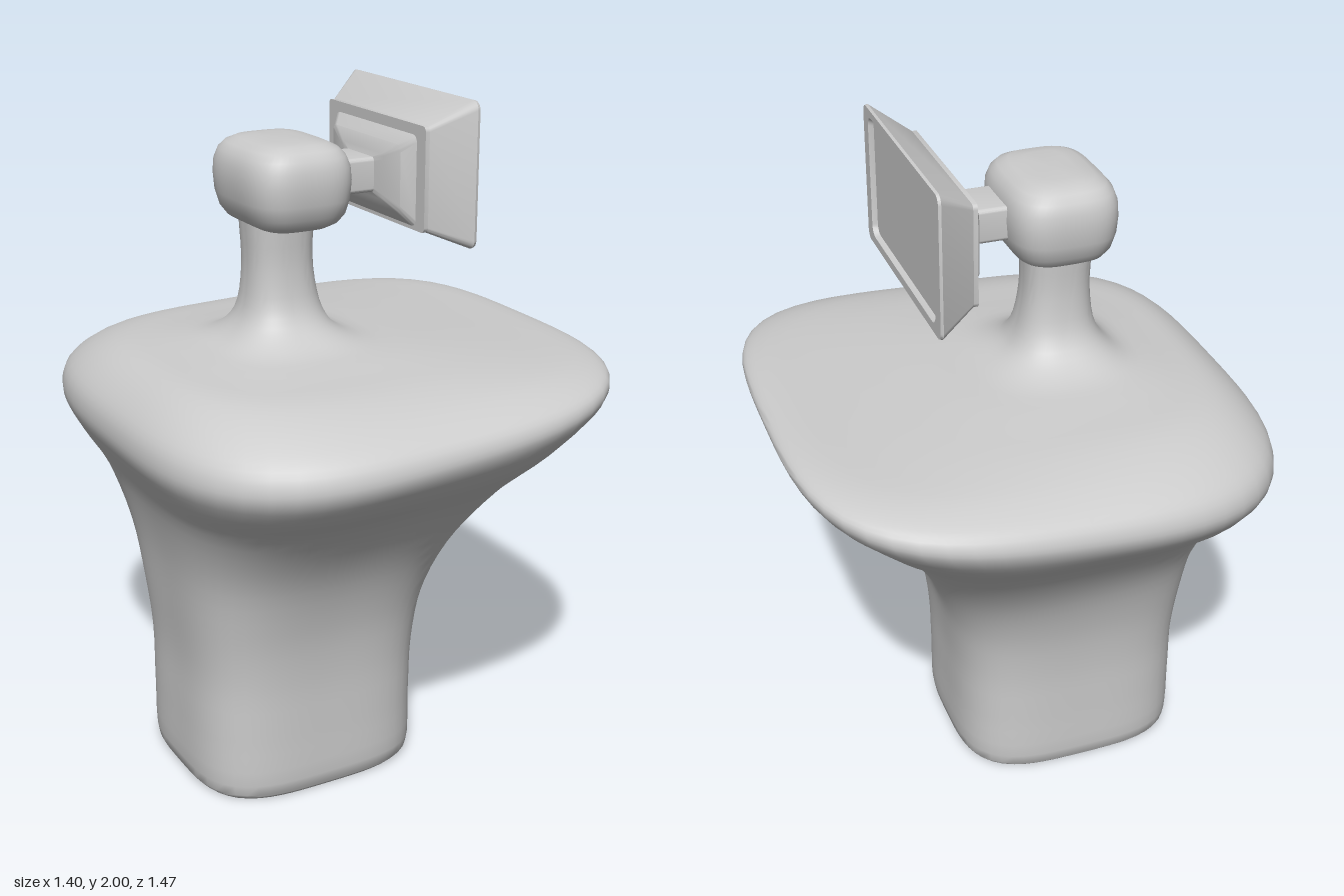
import * as THREE from 'three';
import { toCreasedNormals } from 'three/addons/utils/BufferGeometryUtils.js';

const material = new THREE.MeshStandardMaterial({ color: 0xcccccc });

// Skin a list of equally long point rings and close both ends.
function loft(name, rings, crease) {
  const n = rings[0].length, last = rings.length - 1;
  const points = rings.flat(), index = [];
  for (let i = 0; i < last; i++) {
    for (let j = 0; j < n; j++) {
      const a = i * n + j, b = i * n + (j + 1) % n;
      index.push(a, b, b + n, a, b + n, a + n);
    }
  }
  for (const [ring, flip] of [[0, true], [last, false]]) {
    const centre = new THREE.Vector3();
    rings[ring].forEach(p => centre.addScaledVector(p, 1 / n));
    points.push(centre);
    for (let j = 0; j < n; j++) {
      const a = ring * n + j, b = ring * n + (j + 1) % n;
      index.push(points.length - 1, flip ? b : a, flip ? a : b);
    }
  }
  const geometry = new THREE.BufferGeometry().setFromPoints(points);
  geometry.setIndex(index);
  const mesh = new THREE.Mesh(toCreasedNormals(geometry, crease), material);
  mesh.name = name;
  return mesh;
}

// Horizontal squarish ring whose height runs from yl (right side) to yr (left side).
function squircle(xl, yl, xr, yr, hz, n, count = 72) {
  return Array.from({ length: count }, (_, i) => {
    const a = i / count * Math.PI * 2, c = Math.cos(a), s = Math.sin(a);
    const r = (Math.abs(c) ** n + Math.abs(s) ** n) ** (-1 / n);
    const t = THREE.MathUtils.clamp((c * r + 1) / 2, 0, 1);
    return new THREE.Vector3(xl + (xr - xl) * t, yl + (yr - yl) * t ** 1.8, -s * r * hz);
  });
}

// Upright rounded rectangle facing +x.
function frame(x, y0, y1, hz, radius) {
  const ring = [], mid = (y0 + y1) / 2, hy = (y1 - y0) / 2;
  [[1, 1], [-1, 1], [-1, -1], [1, -1]].forEach(([sy, sz], k) => {
    for (let i = 0; i <= 5; i++) {
      const a = (k + i / 5) * Math.PI / 2;
      ring.push(new THREE.Vector3(x,
        mid + sy * (hy - radius) + radius * Math.cos(a),
        sz * (hz - radius) + radius * Math.sin(a)));
    }
  });
  return ring;
}

export function createModel() {
  const group = new THREE.Group();

  // Pedestal, flared tilted top and neck: xl, yl, xr, yr, half depth, squareness
  const rows = [
    [-0.50, 0, 0.17, 0, 0.305, 3.5],
    [-0.515, 0.02, 0.185, 0.02, 0.32, 3.5],
    [-0.52, 0.2, 0.19, 0.2, 0.325, 3.5],
    [-0.52, 0.38, 0.195, 0.38, 0.33, 3.5],
    [-0.535, 0.55, 0.22, 0.55, 0.355, 3.5],
    [-0.56, 0.74, 0.29, 0.72, 0.42, 3.4],
    [-0.61, 0.92, 0.42, 0.92, 0.55, 3.4],
    [-0.665, 1.02, 0.57, 1.08, 0.675, 3.4],
    [-0.70, 1.10, 0.69, 1.21, 0.735, 3.4],
    [-0.695, 1.16, 0.70, 1.25, 0.725, 3.4],
    [-0.655, 1.22, 0.67, 1.272, 0.66, 3.4],
    [-0.57, 1.28, 0.50, 1.285, 0.52, 3.3],
    [-0.45, 1.302, 0.20, 1.308, 0.34, 3],
    [-0.34, 1.33, 0.03, 1.33, 0.20, 2.7],
    [-0.28, 1.40, -0.04, 1.40, 0.12, 2.5],
    [-0.26, 1.52, -0.065, 1.52, 0.095, 2.5],
    [-0.265, 1.68, -0.065, 1.68, 0.10, 2.5],
  ];
  const leftCurve = new THREE.CatmullRomCurve3(rows.map(r => new THREE.Vector3(r[0], r[1], r[4])));
  const rightCurve = new THREE.CatmullRomCurve3(rows.map(r => new THREE.Vector3(r[2], r[3], r[5])));
  const steps = (rows.length - 1) * 4;
  const bodyRings = Array.from({ length: steps + 1 }, (_, i) => {
    const l = leftCurve.getPoint(i / steps), r = rightCurve.getPoint(i / steps);
    return squircle(l.x, Math.max(0, l.y), r.x, Math.max(0, r.y), l.z, r.z);
  });
  group.add(loft('pedestalAndNeck', bodyRings, 0.9));

  // Head block with softened edges: height, inset
  const headRings = [
    [1.645, 0.10], [1.65, 0.06], [1.665, 0.033], [1.69, 0.015], [1.73, 0.004], [1.78, 0],
    [1.82, 0.003], [1.85, 0.014], [1.87, 0.032], [1.883, 0.06], [1.888, 0.1],
  ].map(([y, d]) => squircle(-0.305 + d, y, 0.012 - d, y, 0.2 - d, 3.6));
  group.add(loft('head', headRings, 0.9));

  // Arm flaring into the screen mount
  group.add(loft('arm', [
    frame(-0.03, 1.72, 1.82, 0.08, 0.012),
    frame(0.105, 1.72, 1.82, 0.08, 0.012),
    frame(0.112, 1.705, 1.835, 0.12, 0.015),
    frame(0.125, 1.68, 1.87, 0.19, 0.02),
    frame(0.155, 1.645, 1.90, 0.225, 0.02),
    frame(0.17, 1.645, 1.90, 0.225, 0.02),
  ], 0.5));

  // Screen housing with a recessed face
  group.add(loft('screen', [
    frame(0.155, 1.635, 1.93, 0.27, 0.015),
    frame(0.168, 1.635, 1.93, 0.27, 0.015),
    frame(0.275, 1.59, 2.0, 0.342, 0.025),
    frame(0.283, 1.592, 1.998, 0.34, 0.025),
    frame(0.283, 1.618, 1.977, 0.297, 0.03),
    frame(0.268, 1.623, 1.972, 0.292, 0.028),
  ], 0.5));

  return group;
}
